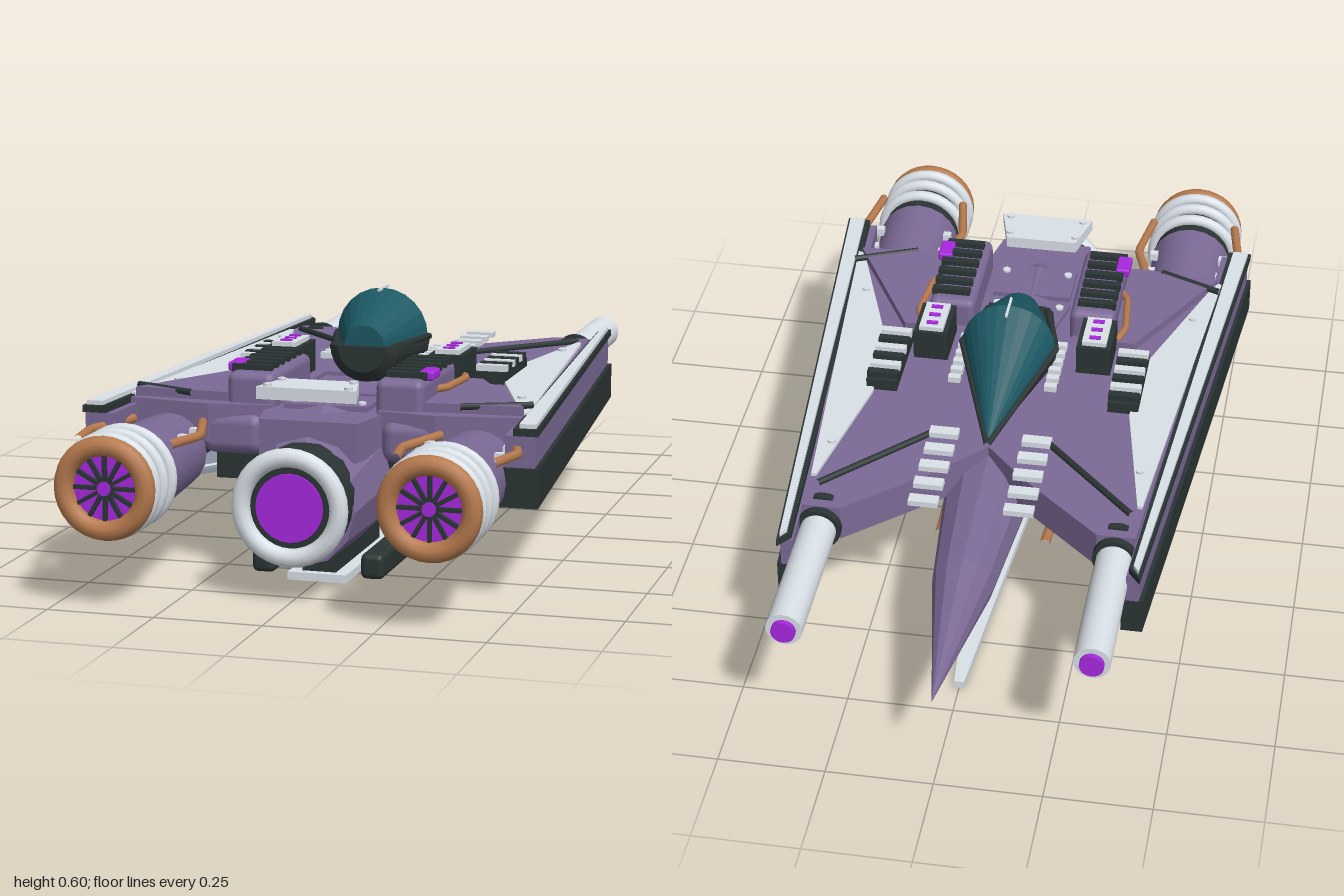
import * as THREE from 'three';
import { RoundedBoxGeometry } from 'three/addons/geometries/RoundedBoxGeometry.js';

const mat = (name, color) => {
  const m = new THREE.MeshStandardMaterial({ color });
  m.name = name;
  return m;
};

export function createModel() {
  const model = new THREE.Group();
  model.name = 'starfighter';
  const purple = mat('purple hull', 0x7b6995), dark = mat('charcoal', 0x2b3434);
  const pale = mat('pale grey metal', 0xdae1e8), steel = mat('blue grey steel', 0x8792a2);
  const copper = mat('copper', 0xb67a4e), glow = mat('violet glow', 0xa728de), teal = mat('teal glass', 0x1c5863);

  const add = (name, geo, m, x = 0, y = 0, z = 0) => {
    const mesh = new THREE.Mesh(geo, m);
    mesh.name = name;
    mesh.position.set(x, y, z);
    model.add(mesh);
    return mesh;
  };
  const box = (name, m, x, y, z, w, h, d) => add(name, new THREE.BoxGeometry(w, h, d), m, x, y, z);
  const rounded = (name, m, x, y, z, w, h, d, r) => add(name, new RoundedBoxGeometry(w, h, d, 2, r), m, x, y, z);
  // cylinder along z: radius at the front (+z) end, then at the back end
  const barrel = (name, m, x, y, z0, z1, rFront, rBack = rFront, n = 24) =>
    add(name, new THREE.CylinderGeometry(rFront, rBack, z1 - z0, n).rotateX(Math.PI / 2), m, x, y, (z0 + z1) / 2);
  const ring = (name, m, x, y, z, r, t) => add(name, new THREE.TorusGeometry(r, t, 10, 32), m, x, y, z);
  // flat slab from an outline of [x, z] points, mirrored by s
  const slab = (name, m, s, pts, y0, y1) => {
    const shape = new THREE.Shape(pts.map(([x, z]) => new THREE.Vector2(s * x, -z)));
    const geo = new THREE.ExtrudeGeometry(shape, { depth: y1 - y0, bevelEnabled: false });
    return add(name, geo.rotateX(-Math.PI / 2), m, 0, y0, 0);
  };
  // bent pipe through [x, y, z] points, mirrored by s
  const pipe = (name, m, s, pts, r) => {
    const path = new THREE.CurvePath();
    const v = pts.map(([x, y, z]) => new THREE.Vector3(s * x, y, z));
    for (let i = 1; i < v.length; i++) path.add(new THREE.LineCurve3(v[i - 1], v[i]));
    return add(name, new THREE.TubeGeometry(path, (v.length - 1) * 6, r, 8), m);
  };
  // faceted skin over arcs given as [z, centre y, radius]
  const loft = (name, m, sections, a0, a1, n) => {
    const pos = [];
    const pt = ([z, cy, r], j) => {
      const a = a0 + (a1 - a0) * j / n;
      return [r * Math.cos(a), cy + r * Math.sin(a), z];
    };
    for (let i = 0; i < sections.length - 1; i++) {
      for (let j = 0; j < n; j++) {
        const a = pt(sections[i], j), b = pt(sections[i], j + 1);
        const d = pt(sections[i + 1], j), c = pt(sections[i + 1], j + 1);
        pos.push(...a, ...b, ...d, ...b, ...c, ...d);
      }
    }
    const geo = new THREE.BufferGeometry();
    geo.setAttribute('position', new THREE.Float32BufferAttribute(pos, 3));
    geo.computeVertexNormals();
    return add(name, geo, m);
  };

  // fuselage with needle nose and tapered tail
  loft('fuselage', purple, [[-1, 0.25, 0], [-0.6, 0.264, 0.073], [-0.2, 0.27, 0.11], [0.2, 0.26, 0.14],
    [0.53, 0.24, 0.165], [0.73, 0.2, 0.13], [0.73, 0.2, 0]], 0, Math.PI * 2, 12);

  // central engine
  barrel('mainEngine', dark, 0, 0.22, 0.64, 0.8, 0.126);
  ring('mainEngineRing', pale, 0, 0.22, 0.8, 0.114, 0.022);
  barrel('mainEngineGlow', glow, 0, 0.22, 0.79, 0.806, 0.078);

  // canopy: glass above, dark tub below
  loft('canopyGlass', teal, [[-0.27, 0.42, 0], [0.05, 0.49, 0.114], [0.21, 0.485, 0.05], [0.21, 0.485, 0]], 0, Math.PI, 12);
  loft('canopyTub', dark, [[-0.27, 0.42, 0], [0.05, 0.49, 0.119], [0.21, 0.485, 0.085], [0.23, 0.485, 0.06],
    [0.23, 0.485, 0]], Math.PI, Math.PI * 2, 12);
  slab('tubLid', dark, 1, [[-0.118, 0.05], [0.118, 0.05], [0.085, 0.21], [0.06, 0.23], [-0.06, 0.23], [-0.085, 0.21]], 0.475, 0.487);
  box('canopyFin', pale, 0, 0.602, 0.045, 0.006, 0.006, 0.08);

  // rear deck and hatch
  slab('deck', purple, 1, [[-0.14, -0.1], [0.14, -0.1], [0.14, 0.55], [0.115, 0.665], [-0.115, 0.665], [-0.14, 0.55]], 0.3, 0.39);
  slab('deckPlate', purple, 1, [[-0.08, 0.26], [0.08, 0.26], [0.105, 0.37], [-0.105, 0.37]], 0.39, 0.402);
  slab('rearDeckPlate', purple, 1, [[-0.1, 0.4], [0.1, 0.4], [0.1, 0.53], [-0.1, 0.53]], 0.39, 0.402);
  slab('rearHatch', pale, 1, [[-0.09, 0.56], [0.09, 0.56], [0.118, 0.675], [-0.118, 0.675]], 0.437, 0.466);

  // keel skid
  slab('skid', pale, 1, [[-0.07, 0.6], [0.07, 0.6], [0.07, 0.1], [0.012, -0.67], [-0.012, -0.67], [-0.07, 0.1]], 0.003, 0.022);
  box('skidStrut', dark, 0, 0.09, -0.01, 0.08, 0.15, 0.08);
  box('rearSkidStrut', dark, 0, 0.055, 0.4, 0.08, 0.08, 0.36);

  for (const s of [1, -1]) {
    // wing and raised panels
    slab('wing', purple, s, [[0, -0.25], [0.1, -0.36], [0.3, -0.54], [0.39, -0.54], [0.48, 0.54],
      [0.27, 0.57], [0.13, 0.55], [0.13, 0.1], [0, 0.1]], 0.31, 0.399);
    slab('wingUnderside', dark, s, [[0.12, -0.3], [0.3, -0.52], [0.38, -0.52], [0.47, 0.52], [0.12, 0.52]], 0.3, 0.31);
    slab('rearWingPanel', purple, s, [[0.23, 0.2], [0.29, 0.2], [0.465, 0.52], [0.23, 0.53]], 0.399, 0.42);
    slab('wingPlate', pale, s, [[0.38, -0.43], [0.392, -0.43], [0.475, 0.52], [0.46, 0.52], [0.32, 0.12], [0.315, -0.08]], 0.399, 0.407);
    slab('wingRoot', dark, s, [[0.08, -0.1], [0.26, 0.1], [0.26, 0.54], [0.08, 0.54]], 0.22, 0.301);
    pipe('frontWingTrim', dark, s, [[0.37, 0.404, -0.46], [0.14, 0.404, -0.22]], 0.008);
    pipe('wingEdgeTrim', dark, s, [[0.475, 0.416, 0.47], [0.32, 0.416, 0.535]], 0.008);
    pipe('canopyFrame', dark, s, [[0, 0.42, -0.27], [0.117, 0.49, 0.05], [0.07, 0.487, 0.215]], 0.008);

    // armoured side pod
    slab('podArmour', dark, s, [[0.375, -0.66], [0.425, -0.66], [0.538, 0.69], [0.445, 0.69]], 0.226, 0.315);
    slab('podTop', purple, s, [[0.385, -0.66], [0.415, -0.66], [0.528, 0.68], [0.46, 0.68]], 0.315, 0.386);
    slab('podTrim', dark, s, [[0.39, -0.65], [0.418, -0.685], [0.535, 0.68], [0.478, 0.68]], 0.386, 0.402);
    slab('podRail', pale, s, [[0.4, -0.65], [0.413, -0.67], [0.528, 0.67], [0.49, 0.67]], 0.394, 0.412);

    // underwing plate, rods and pylon
    slab('underwingPlate', steel, s, [[0.38, -0.5], [0.4, -0.5], [0.5, 0.56], [0.46, 0.56], [0.18, 0.2], [0.18, 0.05]], 0.196, 0.206);
    pipe('underwingRod', pale, s, [[0.39, 0.198, -0.5], [0.17, 0.198, 0.1], [0.48, 0.198, 0.56], [0.39, 0.198, -0.5]], 0.011);
    box('underwingPost', dark, s * 0.42, 0.25, 0.05, 0.05, 0.1, 0.5);
    rounded('pylonBlock', pale, s * 0.297, 0.168, 0.055, 0.095, 0.065, 0.22, 0.012);
    rounded('pylonFoot', pale, s * 0.297, 0.118, 0.05, 0.065, 0.055, 0.08, 0.02);

    // belly boxes and copper struts
    rounded('bellyBox', dark, s * 0.13, 0.045, 0.4, 0.055, 0.06, 0.4, 0.014);
    pipe('bellyStrut', copper, s, [[0.16, 0.145, 0.6], [0.145, 0.048, 0.2], [0.13, 0.08, -0.2]], 0.013);

    // engine nacelle
    const nx = s * 0.368, ny = 0.28;
    barrel('nacelle', purple, nx, ny, 0.56, 0.8, 0.104, 0.09, 20);
    barrel('nacelleFrontCap', dark, nx, ny, 0.54, 0.58, 0.085, 0.07, 20);
    barrel('nacelleCore', dark, nx, ny, 0.79, 0.965, 0.1);
    for (const z of [0.845, 0.9, 0.95]) ring('nacelleRing', pale, nx, ny, z, 0.106, 0.015);
    ring('exhaustRing', copper, nx, ny, 0.977, 0.095, 0.023);
    barrel('exhaustGlow', glow, nx, ny, 0.96, 0.97, 0.078);
    for (let i = 0; i < 6; i++) {
      box('exhaustSpoke', dark, nx, ny, 0.974, 0.15, 0.009, 0.012).rotation.z = i * Math.PI / 6;
    }
    barrel('exhaustHub', glow, nx, ny, 0.97, 0.984, 0.016, 0.016, 12);
    for (const t of [1, -1]) {
      const px = (o) => 0.368 + t * o;
      pipe('nacellePipe', copper, s, [[px(0.085), 0.355, 0.57], [px(0.132), 0.355, 0.72], [px(0.108), 0.36, 0.86]], 0.011);
      for (const z of [0.64, 0.72]) box('nacelleClip', pale, s * px(0.09), 0.345, z, 0.02, 0.02, 0.02);
    }

    // cannon
    barrel('cannon', pale, s * 0.346, 0.353, -0.93, -0.5, 0.042);
    barrel('cannonTip', glow, s * 0.346, 0.353, -0.942, -0.92, 0.028);
    for (const z of [-0.56, -0.505]) barrel('cannonBand', dark, s * 0.346, 0.353, z - 0.01, z + 0.01, 0.052);

    // shoulder block with cooling slats
    rounded('shoulder', purple, s * 0.178, 0.405, 0.39, 0.115, 0.13, 0.3, 0.02);
    rounded('shoulderBase', purple, s * 0.215, 0.33, 0.4, 0.15, 0.1, 0.34, 0.03);
    for (let i = 0; i < 6; i++) box('shoulderSlat', dark, s * 0.185, 0.474, 0.28 + i * 0.043, 0.095, 0.018, 0.02);
    rounded('shoulderLamp', glow, s * 0.229, 0.474, 0.46, 0.036, 0.022, 0.066, 0.006);
    pipe('shoulderPipe', copper, s, [[0.245, 0.425, 0.2], [0.262, 0.43, 0.25], [0.25, 0.43, 0.38], [0.21, 0.43, 0.44]], 0.009);

    // cockpit side console
    box('console', dark, s * 0.203, 0.425, 0.15, 0.085, 0.1, 0.13);
    box('consolePlate', pale, s * 0.203, 0.48, 0.15, 0.06, 0.012, 0.11);
    for (const z of [0.115, 0.15, 0.185]) box('consoleLight', glow, s * 0.203, 0.487, z, 0.028, 0.005, 0.012);
    for (let i = 0; i < 6; i++) box('consoleStud', pale, s * 0.118, 0.445, -0.05 + i * 0.035, 0.03, 0.015, 0.018);

    // wing vent
    box('ventBase', dark, s * 0.297, 0.411, 0.045, 0.075, 0.034, 0.22);
    for (let i = 0; i < 6; i++) box('ventSlat', i % 2 ? pale : dark, s * 0.297, 0.434, -0.045 + i * 0.036, 0.075, 0.018, 0.02);

    // nose fins, hatch bolts and wing studs
    for (let i = 0; i < 5; i++) box('noseFin', pale, s * 0.112, 0.407, -0.49 + i * 0.067, 0.07, 0.014, 0.03);
    for (const [x, y, z] of [[0.085, 0.468, 0.585], [0.095, 0.468, 0.66], [0.08, 0.404, 0.35], [0.08, 0.404, 0.5],
      [0.42, 0.409, 0.35], [0.37, 0.409, -0.3]]) {
      add('bolt', new THREE.CylinderGeometry(0.01, 0.01, 0.008, 10), pale, s * x, y, z);
    }
  }
  return model;
}
